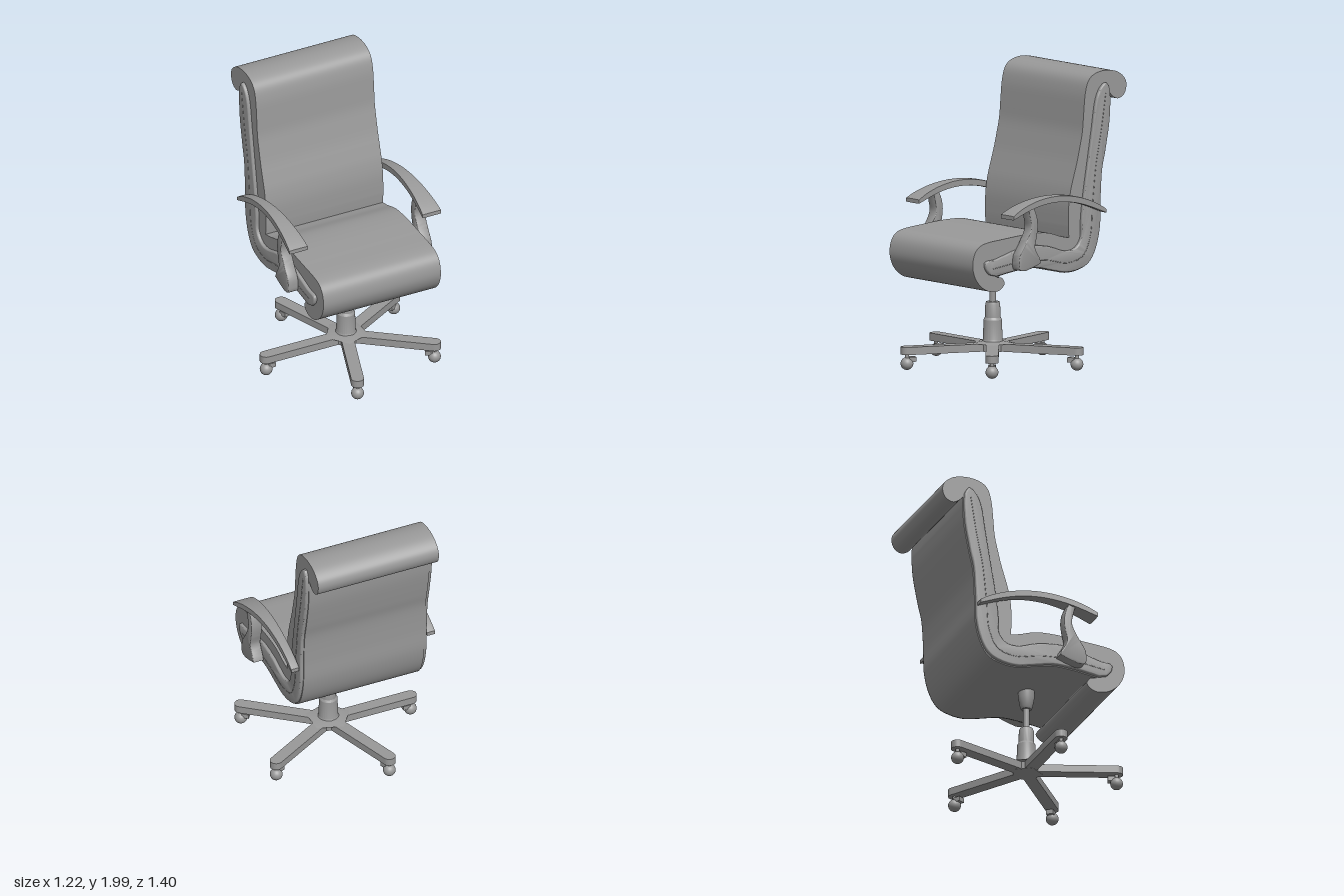
import * as THREE from 'three';
import { toCreasedNormals } from 'three/addons/utils/BufferGeometryUtils.js';

const mat = new THREE.MeshStandardMaterial({ color: 0x999999 });

function add(parent, name, geo, x = 0, y = 0, z = 0) {
  const mesh = new THREE.Mesh(geo, mat);
  mesh.name = name;
  mesh.position.set(x, y, z);
  parent.add(mesh);
}

// Closed outline in (z, y) from smooth runs of points; corners stay sharp between runs
function outline(...runs) {
  return new THREE.Shape(runs.flatMap(run =>
    new THREE.SplineCurve(run.map(p => new THREE.Vector2(...p))).getPoints(run.length * 5)));
}

// Side profile extruded across x, centred on x = 0
function sideExtrude(shape, width, bevel) {
  const geo = new THREE.ExtrudeGeometry(shape, {
    depth: width - 2 * bevel, bevelEnabled: bevel > 0, bevelThickness: bevel,
    bevelSize: bevel, bevelOffset: -bevel, bevelSegments: 4,
  });
  geo.translate(0, 0, -(width - 2 * bevel) / 2);
  geo.rotateY(-Math.PI / 2);
  return toCreasedNormals(geo, 0.6);
}

function lathe(points) {
  const geo = new THREE.LatheGeometry(points.map(p => new THREE.Vector2(...p)), 32);
  return toCreasedNormals(geo, 0.5);
}

// Back and underside line shared by the cushion and the side panels
const rear = [[-.56, 1.79], [-.55, 1.64], [-.515, 1.45], [-.487, 1.32], [-.475, 1.13], [-.47, .95],
  [-.435, .805], [-.375, .71], [-.285, .67], [-.18, .66], [-.075, .68], [.085, .715], [.245, .71], [.42, .685]];

function buildSeat() {
  const seat = new THREE.Group();
  seat.name = 'seat';

  // Cushion: rolled front edge, seat, backrest and rolled headrest
  const seatTop = [[.365, .675], [.342, .635], [.375, .597], [.43, .584], [.51, .606], [.58, .667], [.614, .75],
    [.607, .835], [.57, .892], [.5, .92], [.35, .935], [.14, .95], [-.02, .945], [-.14, .91], [-.21, .895]];
  const backFront = [[-.205, .965], [-.208, 1.1], [-.225, 1.21], [-.253, 1.31], [-.28, 1.4], [-.302, 1.49],
    [-.326, 1.6], [-.337, 1.72], [-.35, 1.85], [-.378, 1.94], [-.435, 1.985], [-.525, 2], [-.62, 1.985],
    [-.685, 1.94], [-.705, 1.885], [-.685, 1.825], [-.635, 1.8], [-.59, 1.817], [-.557, 1.85]];
  add(seat, 'cushion', sideExtrude(outline(seatTop, backFront, rear), .89, 0));

  // Padded side panels with a fine seam
  const panelFront = [[.48, .705], [.514, .745], [.512, .795], [.425, .807], [.27, .85], [.14, .873], [-.02, .855],
    [-.16, .812], [-.25, .822], [-.303, .888], [-.307, 1], [-.325, 1.16], [-.365, 1.4], [-.4, 1.61], [-.43, 1.795],
    [-.47, 1.885], [-.52, 1.918], [-.55, 1.87]];
  const panelRear = rear.map(([z, y]) => [z + .006, y + .006]);
  const panel = sideExtrude(outline(panelFront, panelRear), .06, .01);
  const seamLine = [[-.51, 1.85], [-.47, 1.6], [-.425, 1.37], [-.395, 1.1], [-.375, .89], [-.31, .765],
    [-.18, .73], [0, .765], [.2, .775], [.46, .745]];
  const seam = new THREE.TubeGeometry(
    new THREE.CatmullRomCurve3(seamLine.map(([z, y]) => new THREE.Vector3(0, y, z))), 80, .003, 6);
  for (const s of [1, -1]) {
    add(seat, 'sidePanel', panel, s * .438);
    add(seat, 'sideSeam', seam, s * .467);
  }
  return seat;
}

// Arched arm pad, wider to the front, with a slightly crowned section
function armPad(s) {
  const geo = new THREE.BoxGeometry(1, 1, 1, 8, 2, 36);
  const p = geo.attributes.position;
  for (let i = 0; i < p.count; i++) {
    const u = p.getX(i), v = p.getY(i), t = p.getZ(i) + .5;
    const z = -.462 + .832 * t;
    const inner = .472 - .036 * t * t, outer = .53 + .045 * t * t;
    const thick = .046 * (1 - .4 * Math.pow(2 * t - 1, 8)) * (1 - .12 * Math.pow(2 * u, 4));
    const middle = 1.182 - .6 * (z + .02) ** 2;
    p.setXYZ(i, s * (inner + outer) / 2 + u * (outer - inner), middle + v * thick, z);
  }
  return toCreasedNormals(geo, 0.7);
}

function buildArms() {
  const arms = new THREE.Group();
  arms.name = 'armrests';
  const support = sideExtrude(outline(
    [[.22, 1.14], [.203, 1.07], [.196, 1], [.24, .91], [.29, .83], [.3, .76], [.287, .727], [.24, .72]],
    [[.17, .74], [.108, .763]],
    [[.122, .8], [.16, .87], [.145, .95], [.137, 1.02], [.148, 1.09], [.18, 1.16]]), .077, .006);
  for (const s of [1, -1]) {
    add(arms, 'armPad', armPad(s));
    add(arms, 'armSupport', support, s * .508);
  }
  return arms;
}

function buildBase() {
  const base = new THREE.Group();
  base.name = 'base';

  // Gas lift: column, rod and cup under the seat
  add(base, 'column', lathe([[0, .16], [.08, .16], [.066, .185], [.062, .32], [.053, .335],
    [.05, .425], [.044, .442], [0, .442]]));
  add(base, 'rod', new THREE.CylinderGeometry(.023, .023, .2, 24), 0, .52);
  add(base, 'seatCup', lathe([[0, .585], [.034, .585], [.042, .6], [.055, .67], [.055, .725], [0, .725]]));

  // Five-sided hub
  const hub = new THREE.CylinderGeometry(.11, .11, .054, 5).rotateY(-Math.PI / 2);
  add(base, 'hub', toCreasedNormals(hub, 0.3), 0, .137);
  const plate = new THREE.CylinderGeometry(.08, .155, .014, 5).rotateY(-Math.PI / 2);
  add(base, 'hubPlate', toCreasedNormals(plate, 0.3), 0, .17);

  // Star legs with round ends and ball casters
  const w = .043;
  const legShape = new THREE.Shape();
  legShape.moveTo(0, -w);
  legShape.lineTo(.605, -w);
  legShape.absarc(.605, 0, w, -Math.PI / 2, Math.PI / 2, false);
  legShape.lineTo(0, w);
  const legGeo = toCreasedNormals(
    new THREE.ExtrudeGeometry(legShape, { depth: .052, bevelEnabled: false }).rotateX(Math.PI / 2), 0.6);
  const ball = new THREE.SphereGeometry(.043, 24, 16);
  const stem = new THREE.CylinderGeometry(.014, .014, .05, 16);
  const hood = new THREE.BoxGeometry(.05, .032, .05);
  for (const degrees of [180, 110.6, 39.3, -30, -107.7]) {
    const leg = new THREE.Group();
    leg.name = 'starLeg';
    leg.rotation.y = -THREE.MathUtils.degToRad(degrees);
    add(leg, 'legBar', legGeo, 0, .163);
    add(leg, 'casterBall', ball, .605, .048);
    add(leg, 'casterStem', stem, .605, .095);
    add(leg, 'casterHood', hood, .57, .077);
    base.add(leg);
  }
  return base;
}

export function createModel() {
  const model = new THREE.Group();
  model.name = 'officeChair';
  const seat = buildSeat(), arms = buildArms(), base = buildBase();
  seat.position.x = .03;
  arms.position.x = .032;
  base.position.set(.034, 0, .09);
  model.add(seat, arms, base);
  return model;
}
